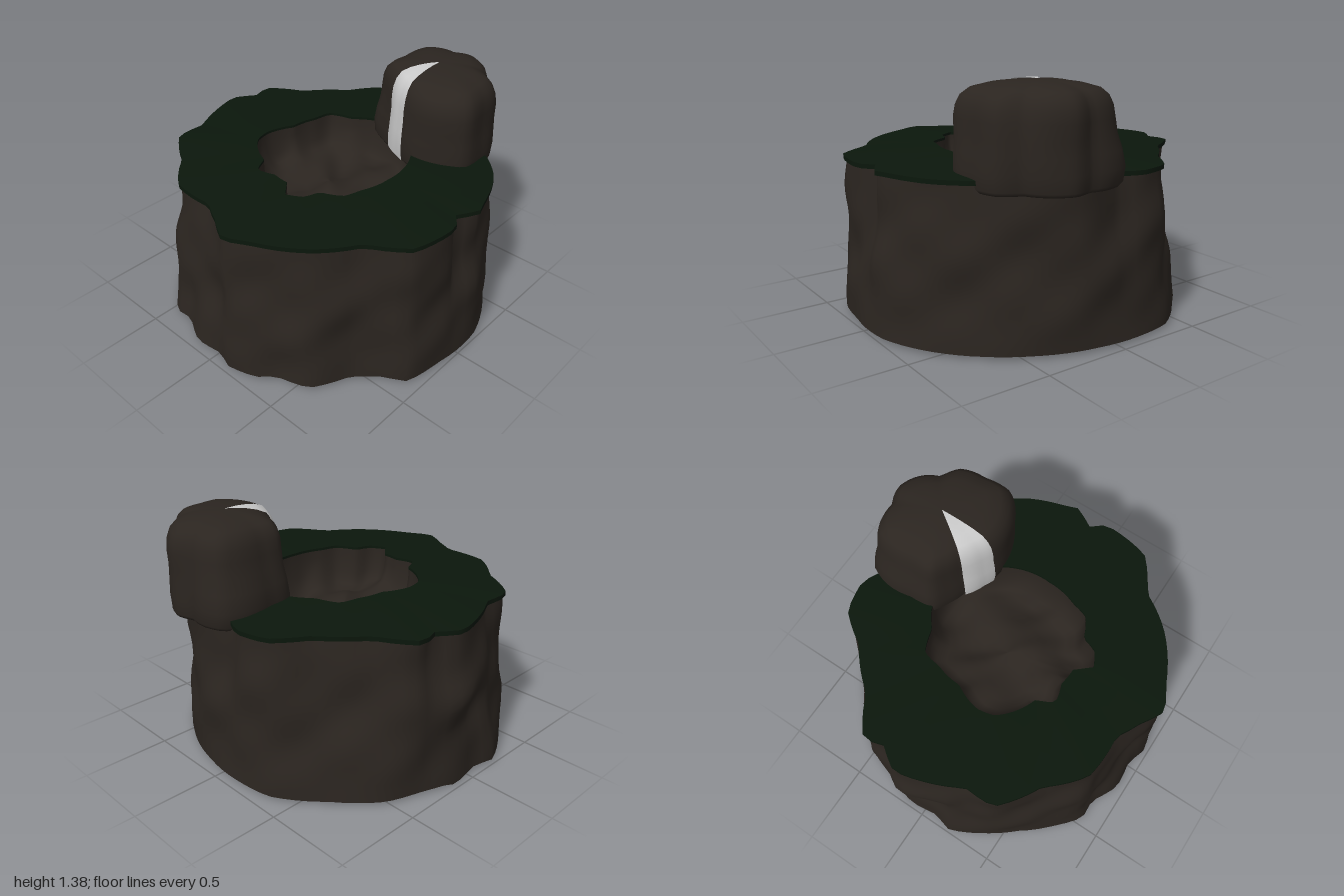
import * as THREE from 'three';
import { toCreasedNormals } from 'three/addons/utils/BufferGeometryUtils.js';

const SEG = 96;
const TAU = Math.PI * 2;
const rock = new THREE.MeshStandardMaterial({ color: 0x2b2520, side: THREE.DoubleSide });
const grass = new THREE.MeshStandardMaterial({ color: 0x0b170c, side: THREE.DoubleSide });
const water = new THREE.MeshStandardMaterial({ color: 0xcccccc, side: THREE.DoubleSide });

const lerp = THREE.MathUtils.lerp;
const wave = (a, b, c) => Math.sin(a) * 0.5 + Math.sin(b + 1.3) * 0.3 + Math.sin(c + 2.1) * 0.2;
const bell = (v, centre, width) => Math.exp(-(((v - centre) / width) ** 2));

// Radius as a function of angle, from outline points [x, z] around a centre
function outline(points, cx = 0, cz = 0) {
  const p = points.map(([x, z]) => {
    const a = Math.atan2(z - cz, x - cx);
    return [(a + TAU) % TAU, Math.hypot(x - cx, z - cz)];
  }).sort((a, b) => a[0] - b[0]);
  const first = p[0], last = p[p.length - 1];
  p.unshift([last[0] - TAU, last[1]]);
  p.push([first[0] + TAU, first[1]]);
  return (angle) => {
    const a = ((angle % TAU) + TAU) % TAU;
    let i = 1;
    while (i < p.length - 1 && p[i][0] < a) i++;
    const t = (a - p[i - 1][0]) / (p[i][0] - p[i - 1][0] || 1);
    return lerp(p[i - 1][1], p[i][1], t);
  };
}

// Skin stacked rings; at(angle, row) returns [x, y, z]
function loft(rows, at, start = 0, sweep = TAU, seg = SEG) {
  const closed = sweep === TAU;
  const n = closed ? seg : seg + 1;
  const pos = [], idx = [];
  for (let j = 0; j < rows; j++)
    for (let i = 0; i < n; i++) pos.push(...at(start + (i / seg) * sweep, j));
  for (let j = 0; j < rows - 1; j++)
    for (let i = 0; i < seg; i++) {
      const k = (i + 1) % n;
      const a = j * n + i, b = j * n + k, c = a + n, d = b + n;
      idx.push(a, c, b, b, c, d);
    }
  const g = new THREE.BufferGeometry();
  g.setAttribute('position', new THREE.Float32BufferAttribute(pos, 3));
  g.setIndex(idx);
  g.computeVertexNormals();
  return g;
}

// Outlines, as [x, z]
const rimOpen = [
  [0.14, 0.95], [0.27, 0.88], [0.56, 0.7], [0.7, 0.51], [0.91, 0.37], [0.955, 0.08], [0.89, 0],
  [0.96, -0.13], [0.93, -0.2], [0.83, -0.45], [0.66, -0.62], [-0.05, -0.87], [-0.16, -0.92],
  [-0.35, -0.88], [-0.48, -0.7], [-0.69, -0.49], [-0.91, -0.35], [-0.87, -0.24], [-0.96, -0.11],
  [-0.91, 0.08], [-0.82, 0.27], [-0.82, 0.45], [-0.59, 0.61], [-0.4, 0.79], [-0.13, 0.8], [0, 0.87],
];
const rim = outline([...rimOpen, [0.5, -0.66], [0.25, -0.72], [0.05, -0.82]]);
const wallTop = outline([...rimOpen, [0.48, -0.79], [0.2, -0.93]]);
const foot = outline([
  [0.99, 0], [0.98, -0.19], [0.83, -0.5], [0.66, -0.68], [0.45, -0.82], [0.13, -0.93], [-0.16, -0.95],
  [-0.37, -0.92], [-0.62, -0.73], [-0.83, -0.52], [-0.9, -0.33], [-0.97, -0.1], [-0.95, 0.08],
  [-0.985, 0.2], [-0.88, 0.4], [-0.75, 0.57], [-0.6, 0.74], [-0.45, 0.87], [-0.33, 0.86],
  [-0.16, 0.95], [0.02, 0.93], [0.13, 0.97], [0.3, 0.92], [0.38, 0.84], [0.57, 0.78], [0.68, 0.56],
  [0.8, 0.45], [0.93, 0.38], [0.97, 0.15],
]);
const pit = outline([
  [-0.34, -0.24], [-0.32, -0.35], [-0.18, -0.4], [-0.07, -0.48], [0.15, -0.47], [0.29, -0.38],
  [0.38, -0.27], [0.44, 0], [0.4, 0.19], [0.37, 0.29], [0.25, 0.35], [0.22, 0.44], [0.13, 0.49],
  [0.06, 0.4], [-0.05, 0.39], [-0.16, 0.42], [-0.21, 0.32], [-0.41, 0.18], [-0.43, 0.08], [-0.37, -0.08],
]);
const BX = 0.29, BZ = -0.62;
const boulderEdge = outline([
  [-0.08, -0.83], [-0.04, -0.91], [0.08, -0.95], [0.2, -0.935], [0.31, -0.97], [0.42, -0.92],
  [0.52, -0.8], [0.63, -0.73], [0.66, -0.56], [0.67, -0.4], [0.56, -0.32], [0.38, -0.28],
  [0.24, -0.33], [0.13, -0.39], [0.03, -0.43], [-0.07, -0.48], [-0.09, -0.62],
], BX, BZ);

// Lumpy outer wall, open below, with a knob on its right side
function wallPoint(a, j) {
  const t = j / 18;
  const lump = wave(a * 5 + t * 7, a * 9 - t * 11, a * 13 + t * 15) * 0.028 * Math.sin(Math.PI * t);
  const knob = bell(a, 3.22, 0.2) * (0.045 * bell(t, 0.6, 0.12) - 0.02 * bell(t, 0.38, 0.1));
  const r = lerp(foot(a), wallTop(a) * 0.98, t) + lump + knob;
  const dip = j === 0 ? 0.02 * bell(a, 3.25, 0.06) : 0;
  return [r * Math.cos(a), lerp(0.02, 0.9, t) - dip, r * Math.sin(a)];
}

// Thin grass ring: outer edge, top, inner edge, underside
function grassPoint(a, j) {
  const r = [rim(a), rim(a), lerp(rim(a), pit(a), 0.5), pit(a), pit(a), rim(a)][j];
  const y = [0.89, 0.915, 0.932, 0.94, 0.925, 0.89][j];
  return [r * Math.cos(a), y, r * Math.sin(a)];
}

// Shallow basin with an uneven floor
function basinPoint(a, j) {
  const scale = [1.005, 1, 0.97, 0.9, 0.78, 0.64, 0.48, 0.32, 0.16, 0][j];
  const y = [0.935, 0.87, 0.79, 0.73, 0.71, 0.71, 0.72, 0.72, 0.72, 0.72][j];
  const r = pit(a) * scale;
  const x = r * Math.cos(a), z = r * Math.sin(a);
  const lump = j > 1 ? 0.045 * wave(x * 15 + z * 4, z * 19 - x * 7, (x - z) * 23) : 0;
  return [x, y + lump, z];
}

// Boulder levels: [height, share of the outline]
const levels = [
  [0.85, 0], [0.85, 0.94], [0.87, 0.98], [0.95, 1], [1.04, 0.99], [1.12, 0.98], [1.2, 0.985],
  [1.26, 0.96], [1.31, 0.9], [1.345, 0.79], [1.365, 0.6], [1.375, 0.4], [1.38, 0.2], [1.38, 0],
];
function boulderPoint(a, j, lift = 0) {
  const [y, s] = levels[j];
  const angle = (a + TAU) % TAU;
  const flare = 1 - 0.16 * bell(angle, 3.3, 0.8) * THREE.MathUtils.smoothstep(y, 0.95, 1.22);
  const lump = 0.008 * wave(a * 3 + y * 9, a * 5 - y * 14, a * 7);
  const r = (boulderEdge(a) * flare + lump) * s + (s > 0 ? lift : 0);
  return [BX + r * Math.cos(a), y + (j > 8 ? lift * 0.4 : 0), BZ + r * Math.sin(a)];
}

export function createModel() {
  const group = new THREE.Group();
  const add = (name, geometry, material) => {
    const mesh = new THREE.Mesh(geometry, material);
    mesh.name = name;
    group.add(mesh);
  };
  add('rockWall', loft(19, wallPoint), rock);
  add('grassRing', toCreasedNormals(loft(6, grassPoint), 0.6), grass);
  add('basin', loft(10, basinPoint), rock);
  add('boulder', loft(levels.length, (a, j) => boulderPoint(a, j), 0, TAU, 64), rock);

  // Waterfall: a narrow sector lying just over the boulder, narrowing to its crown
  const from = Math.atan2(-0.33 - BZ, 0.295 - BX);
  const to = Math.atan2(-0.39 - BZ, 0.13 - BX);
  add('waterfall', loft(levels.length - 2, (a, j) => boulderPoint(a, j + 2, 0.012), from, to - from, 8), water);
  return group;
}
